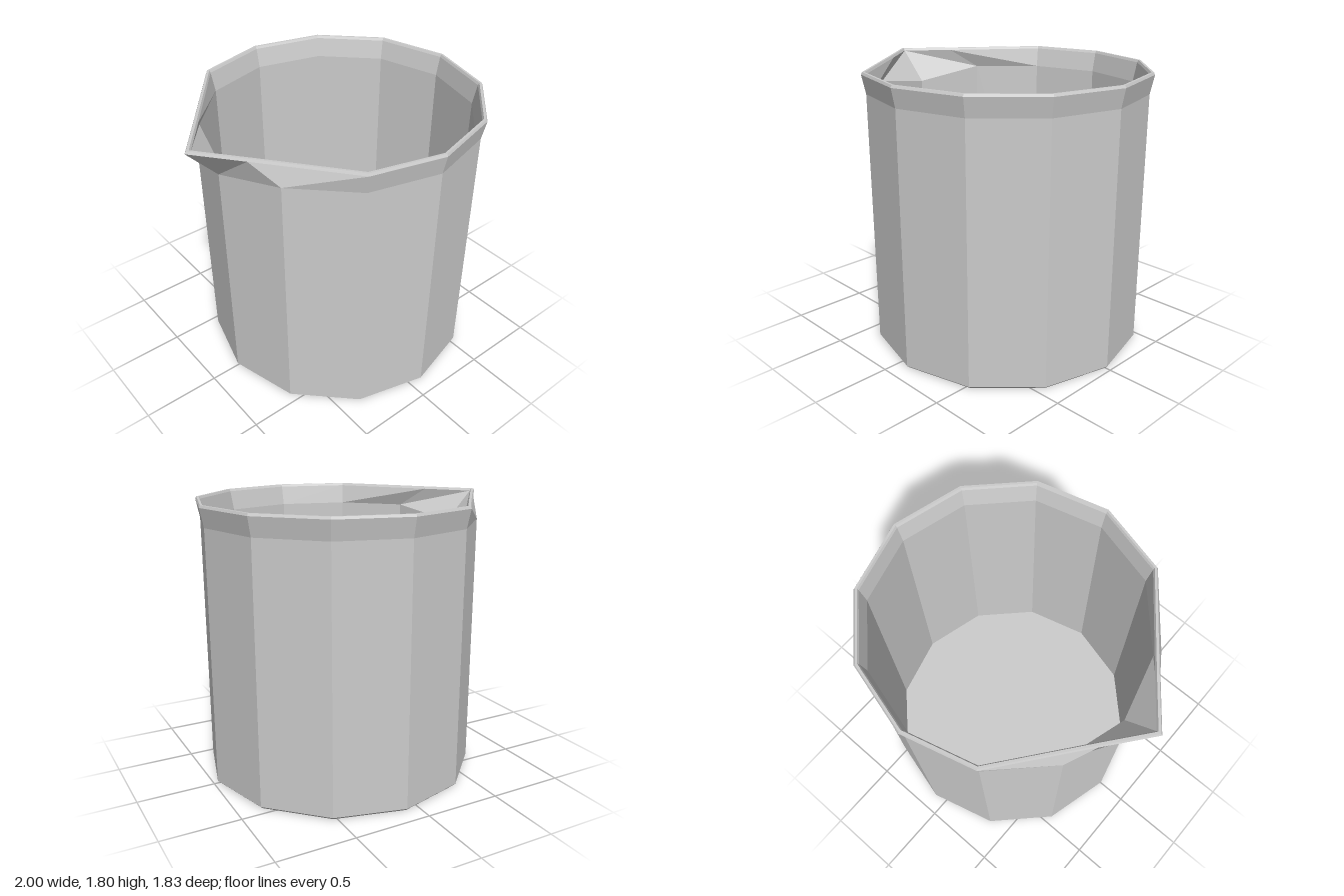
import * as THREE from 'three';

const SIDES = 12, CENTER_X = 0.085;

// Profile from the underside centre, up the outside, over the rim and down the inside.
// spout: inset of the rim from the lip outline; dip: how far the wall drops under the spout.
const PROFILE = [
  { r: 0, y: 0 },
  { r: 0.875, y: 0 },
  { r: 0.89, y: 0.015 },
  { r: 0.89, y: 1.665, dip: 0.09 },
  { r: 0.915, y: 1.785, spout: 0 },
  { r: 0.908, y: 1.8, spout: 0.007 },
  { r: 0.893, y: 1.8, spout: 0.022 },
  { r: 0.885, y: 1.785, spout: 0.03 },
  { r: 0.86, y: 1.66, dip: 0.07 },
  { r: 0.86, y: 0.03 },
  { r: 0, y: 0.03 },
];

// One cross-section; the corners around 180 degrees are drawn out into the spout
function ring({ r, y, spout, dip = 0 }) {
  return Array.from({ length: SIDES }, (_, i) => {
    const a = (i / SIDES) * Math.PI * 2;
    const p = new THREE.Vector3(CENTER_X + r * Math.cos(a), y, r * Math.sin(a));
    if (i === 6) {
      p.y -= dip;
      p.z = 0;
      if (spout !== undefined) p.x = -1 + spout * 1.28;
    } else if ((i === 5 || i === 7) && spout !== undefined) {
      p.x = -0.78 + spout * 0.78;
      p.z = Math.sign(p.z) * (0.276 - spout * 0.62);
    }
    return p;
  });
}

function beakerGeometry() {
  const rings = PROFILE.map(ring);
  const pos = [];
  const tri = (a, b, c) => {
    if (a.distanceTo(b) > 1e-6 && b.distanceTo(c) > 1e-6 && c.distanceTo(a) > 1e-6)
      pos.push(...a.toArray(), ...b.toArray(), ...c.toArray());
  };
  for (let k = 0; k < rings.length - 1; k++) {
    for (let i = 0; i < SIDES; i++) {
      const j = (i + 1) % SIDES;
      const a = rings[k][i], b = rings[k + 1][i], c = rings[k + 1][j], d = rings[k][j];
      // Mirror the diagonals so both sides of the spout match
      if (i < SIDES / 2) { tri(a, b, d); tri(b, c, d); }
      else { tri(a, b, c); tri(a, c, d); }
    }
  }
  const geo = new THREE.BufferGeometry();
  geo.setAttribute('position', new THREE.Float32BufferAttribute(pos, 3));
  geo.computeVertexNormals();
  return geo;
}

export function createModel() {
  const group = new THREE.Group();
  group.name = 'beaker';
  const glass = new THREE.MeshStandardMaterial({ color: 0xcccccc, flatShading: true });
  const body = new THREE.Mesh(beakerGeometry(), glass);
  body.name = 'beakerBodyWithSpout';
  group.add(body);
  return group;
}
